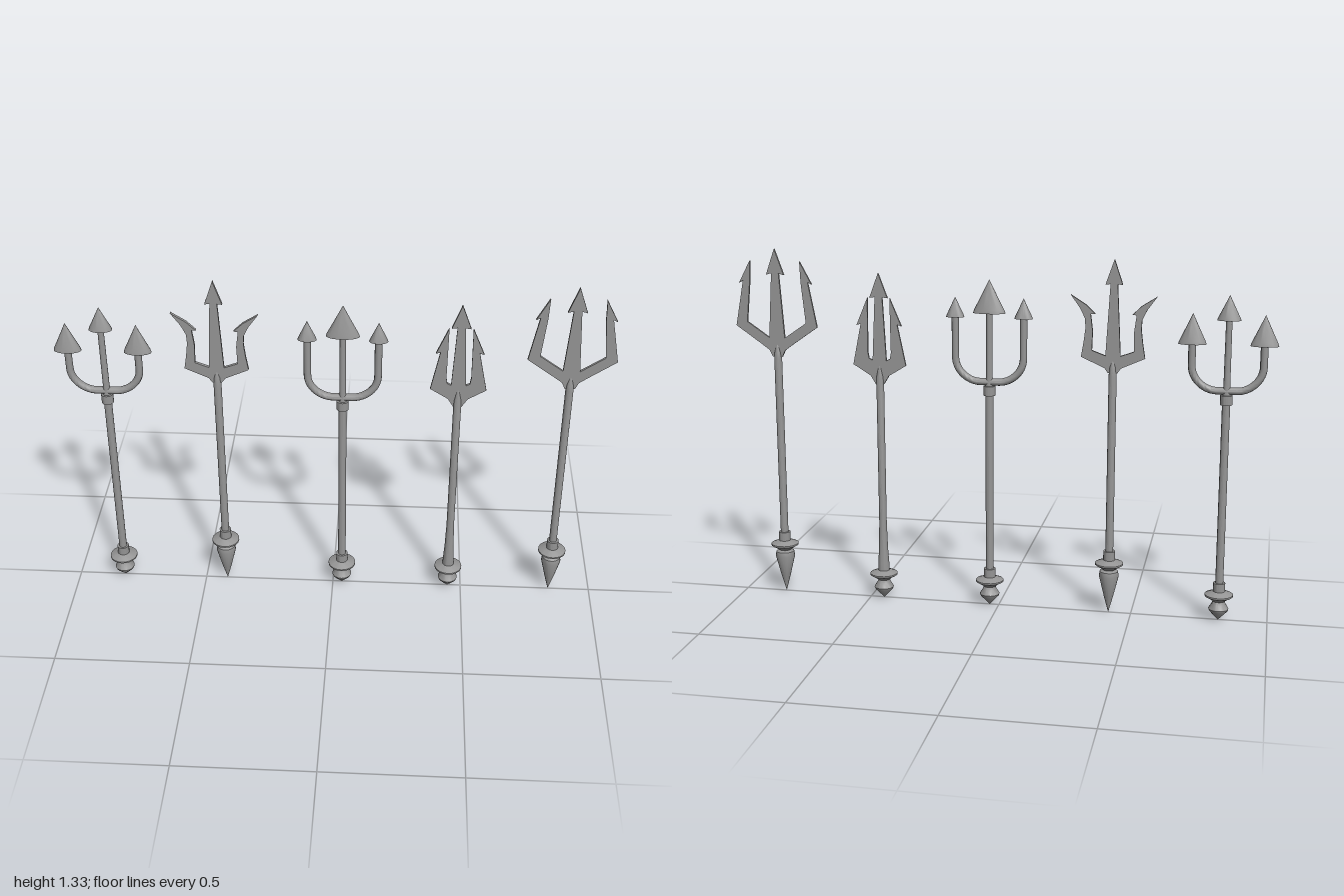
import * as THREE from 'three';
import { toCreasedNormals } from 'three/addons/utils/BufferGeometryUtils.js';

const material = new THREE.MeshStandardMaterial({ color: 0x959595 });

function add(group, name, geometry) {
  const mesh = new THREE.Mesh(toCreasedNormals(geometry, 0.6), material);
  mesh.name = name;
  group.add(mesh);
  return mesh;
}

// Turned part from [radius, height] pairs, bottom to top
function turned(group, name, profile) {
  return add(group, name, new THREE.LatheGeometry(profile.map(([r, y]) => new THREE.Vector2(r, y)), 20));
}

// Pommel profiles: a short bulb and a long spike, each below a sharp ring
const ringAt = (y) => [[0.022, y - 0.022], [0.035, y - 0.012], [0.052, y - 0.002], [0.052, y + 0.004], [0.035, y + 0.011], [0.022, y + 0.016]];
const bulb = [[0, 0], [0.034, 0.036], [0.037, 0.044], [0.025, 0.064], ...ringAt(0.095)];
const spike = [[0, 0], [0.017, 0.062], [0.037, 0.144], [0.034, 0.162], ...ringAt(0.19)];
const collar = (y0, y1) => [[0, y0], [0.022, y0], [0.022, y1], [0, y1]];

// Flattened cone head with a slightly hollow base
function coneHead(group, name, x, base, tip, halfWidth, halfDepth) {
  const h = tip - base;
  const head = turned(group, name, [
    [0, h * 0.12], [halfWidth * 0.4, h * 0.1], [halfWidth, 0], [halfWidth * 0.93, h * 0.1], [halfWidth * 0.45, h * 0.56], [0, h],
  ]);
  head.scale.z = halfDepth / halfWidth;
  head.position.set(x, base, 0);
}

// Round-pronged trident: a bent U bar, a central rod and three cone heads
function roundTrident(name, side, centre) {
  const g = new THREE.Group();
  g.name = name;
  turned(g, 'pommel', bulb);
  turned(g, 'lowerCollar', collar(0.108, 0.143));
  turned(g, 'shaft', [[0.0145, 0.13], [0.0145, 0.83]]);
  turned(g, 'upperCollar', collar(0.81, 0.845));
  turned(g, 'centreRod', [[0.015, 0.84], [0.012, 0.88], [0.011, centre.base + 0.02]]);

  const x = 0.126, y = 0.86, r = 0.09, top = side.base + 0.02;
  const v = (a, b) => new THREE.Vector3(a, b, 0);
  const path = new THREE.CurvePath();
  path.add(new THREE.LineCurve3(v(-x, top), v(-x, y + r)));
  path.add(new THREE.CubicBezierCurve3(v(-x, y + r), v(-x, y + r * 0.4), v(-x + r * 0.55, y), v(-x + r, y)));
  path.add(new THREE.LineCurve3(v(-x + r, y), v(x - r, y)));
  path.add(new THREE.CubicBezierCurve3(v(x - r, y), v(x - r * 0.55, y), v(x, y + r * 0.4), v(x, y + r)));
  path.add(new THREE.LineCurve3(v(x, y + r), v(x, top)));
  add(g, 'prongBar', new THREE.TubeGeometry(path, 60, 0.0135, 12));

  coneHead(g, 'centreHead', 0, centre.base, centre.tip, centre.width, 0.026);
  for (const s of [-1, 1]) coneHead(g, s > 0 ? 'leftHead' : 'rightHead', s * x, side.base, side.tip, side.width, side.depth);
  return g;
}

// Flat-bladed trident: right half outline runs from the neck to the centre tip and is mirrored
function bladeTrident(name, outline, halfDepth, shaft, pommel, collarY) {
  const g = new THREE.Group();
  g.name = name;
  turned(g, 'pommel', pommel);
  if (collarY) turned(g, 'lowerCollar', collar(collarY, collarY + 0.04));
  turned(g, 'shaft', shaft);
  const points = [
    ...outline.map(([x, y]) => new THREE.Vector2(x, y)),
    ...outline.slice(0, -1).reverse().map(([x, y]) => new THREE.Vector2(-x, y)),
  ];
  const blade = new THREE.ExtrudeGeometry(new THREE.Shape(points), { depth: halfDepth * 2, bevelEnabled: false });
  blade.translate(0, 0, -halfDepth);
  add(g, 'blade', blade);
  return g;
}

export function createModel() {
  const model = new THREE.Group();
  model.name = 'tridentSet';

  const broad = roundTrident('broadHeadTrident',
    { base: 1.025, tip: 1.135, width: 0.05, depth: 0.026 }, { base: 1.113, tip: 1.202, width: 0.042 });

  // Swept prongs with inner barbs
  const swept = bladeTrident('sweptTrident', [
    [0.017, 0.91], [0.03, 0.928], [0.115, 0.966], [0.106, 1.02], [0.1, 1.07], [0.102, 1.105], [0.12, 1.142], [0.154, 1.189],
    [0.1, 1.155], [0.066, 1.122], [0.082, 1.122], [0.074, 1.06], [0.076, 0.99], [0.027, 0.972],
    [0.013, 1.23], [0.031, 1.228], [0, 1.318],
  ], 0.006, [[0.0145, 0.2], [0.0145, 0.9], [0.012, 0.93], [0, 0.975]], spike, 0.2);

  const wideCentre = roundTrident('wideCentreTrident',
    { base: 1.096, tip: 1.17, width: 0.034, depth: 0.022 }, { base: 1.113, tip: 1.235, width: 0.06 });

  // Narrow prongs with outer barbs, on a shaft that swells at its foot
  const narrow = bladeTrident('narrowTrident', [
    [0.015, 0.835], [0.035, 0.868], [0.1, 0.908], [0.069, 1.06], [0.085, 1.055], [0.042, 1.157],
    [0.044, 0.955], [0.04, 0.932], [0.026, 0.925], [0.014, 1.16], [0.034, 1.157], [0, 1.248],
  ], 0.005, [[0.022, 0.105], [0.021, 0.135], [0.017, 0.2], [0.0142, 0.3], [0.0142, 0.86], [0, 0.93]], bulb, 0);

  // Wide prongs with outer barbs
  const wide = bladeTrident('wideTrident', [
    [0.018, 0.925], [0.03, 0.95], [0.06, 0.972], [0.157, 1.04], [0.125, 1.208], [0.14, 1.2], [0.096, 1.283],
    [0.099, 1.205], [0.114, 1.055], [0.03, 0.997], [0.014, 1.238], [0.034, 1.232], [0, 1.328],
  ], 0.005, [[0.0145, 0.2], [0.0145, 0.92], [0.013, 0.94], [0, 0.99]], spike, 0.2);

  [[broad, -0.822], [swept, -0.416], [wideCentre, 0.035], [narrow, 0.448], [wide, 0.842]].forEach(([trident, x]) => {
    trident.position.x = x;
    model.add(trident);
  });
  return model;
}
